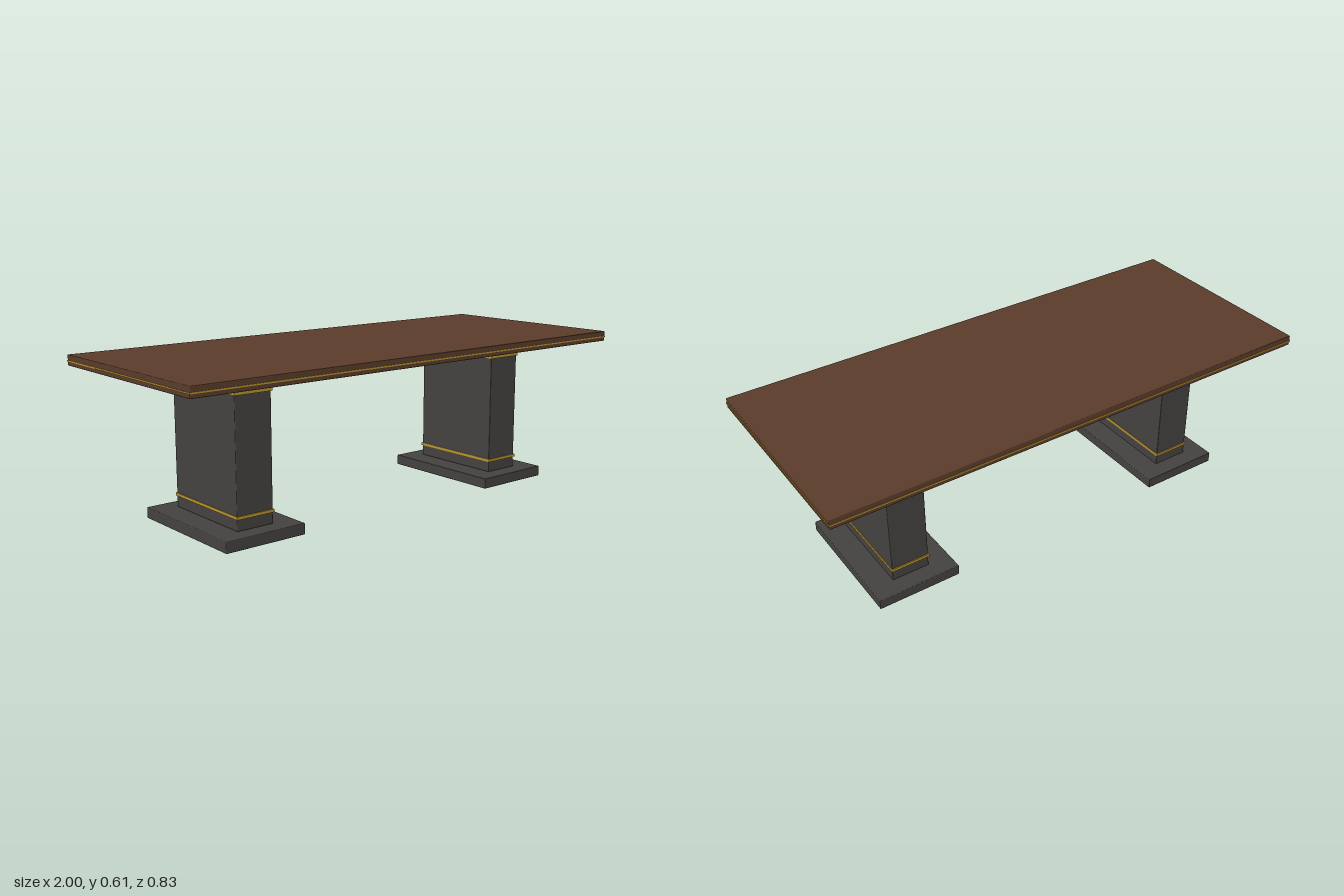
import * as THREE from 'three';
import { RoundedBoxGeometry } from 'three/addons/geometries/RoundedBoxGeometry.js';

const wood = new THREE.MeshStandardMaterial({ color: 0x5a3b2a });
const stone = new THREE.MeshStandardMaterial({ color: 0x444240 });
const brass = new THREE.MeshStandardMaterial({ color: 0xb8922a });

// Softly edged block spanning y0..y1, centred in x and z
function block(name, material, width, depth, y0, y1, radius = 0.003) {
  const geometry = radius
    ? new RoundedBoxGeometry(width, y1 - y0, depth, 2, radius)
    : new THREE.BoxGeometry(width, y1 - y0, depth);
  const mesh = new THREE.Mesh(geometry, material);
  mesh.name = name;
  mesh.position.y = (y0 + y1) / 2;
  return mesh;
}

// Foot, column with two brass bands, and the plate under the top
function createPedestal(name, x) {
  const pedestal = new THREE.Group();
  pedestal.name = name;
  pedestal.position.x = x;
  pedestal.add(
    block('foot', stone, 0.33, 0.53, 0, 0.042),
    block('column', stone, 0.15, 0.396, 0.042, 0.55),
    block('lowerBand', brass, 0.156, 0.405, 0.085, 0.096, 0),
    block('upperBand', brass, 0.156, 0.405, 0.517, 0.528, 0),
    block('supportPlate', stone, 0.23, 0.496, 0.549, 0.575)
  );
  return pedestal;
}

export function createModel() {
  const table = new THREE.Group();
  table.name = 'table';

  // Table top with a thin brass line around its edge
  table.add(
    block('tableTop', wood, 1.996, 0.828, 0.574, 0.614),
    block('edgeInlay', brass, 2, 0.832, 0.589, 0.594, 0)
  );

  for (const [name, x] of [['leftPedestal', 0.623], ['rightPedestal', -0.623]]) {
    table.add(createPedestal(name, x));
  }
  return table;
}
